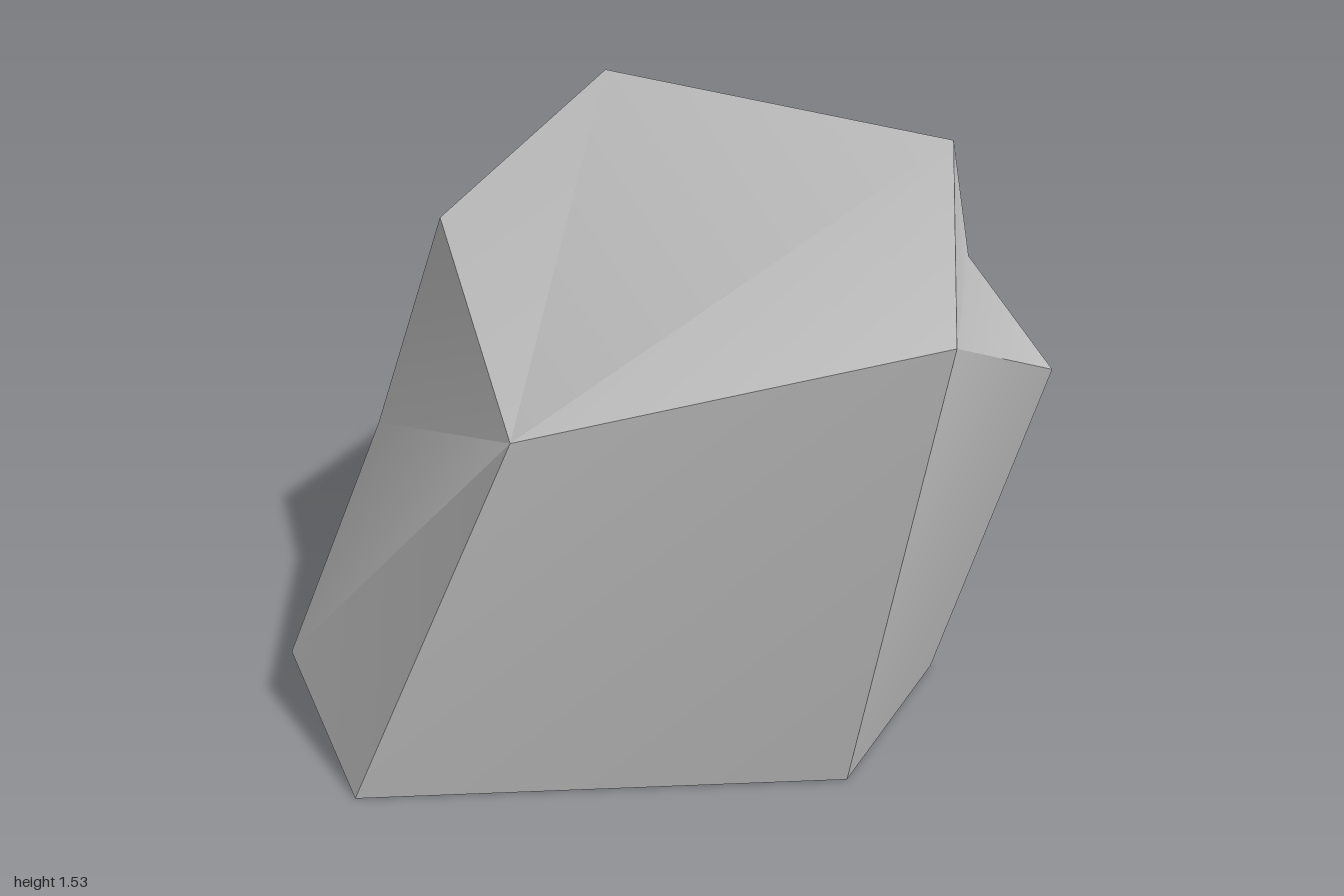
import * as THREE from 'three';
import { toCreasedNormals } from 'three/addons/utils/BufferGeometryUtils.js';

// Corners of the boulder
const corners = {
  A: [0.57, 1.535, 0.48], B: [0.02, 1.475, -0.745], C: [-0.505, 1.165, -0.44],
  D: [-0.51, 0.965, 0.662], E: [0.4, 1.213, 0.963], F: [1, 0.83, 0.21],
  G: [0.68, 1.21, 0.355], H: [0.9, 0.42, -0.305], I: [-0.15, 0.775, -0.965],
  J: [0.39, 0.34, -0.89], K: [-0.705, 0.61, -0.39], L: [-1, 0.17, 0.04],
  M: [-0.89, 0, 0.495], N: [0.29, 0.003, 0.71], O: [0.695, 0.003, 0.24], P: [0.25, 0, -0.46],
};

// Cut faces, each a fan from its first corner, anticlockwise from outside
const facets = [
  'DEABC',  // sloping top
  'EFGA',   // notch below the peak
  'MNED',   // front
  'NOFE',   // front right
  'OHF',    // right sliver
  'BAGFHI', // broad right face
  'HJI',    // back right corner
  'OPJH',   // right undercut
  'CBIK',   // back
  'PLKIJ',  // back undercut
  'DCKLM',  // left
  'MLPON',  // underside
];

export function createModel() {
  const positions = [];
  for (const f of facets) {
    for (let i = 1; i < f.length - 1; i++) {
      positions.push(...corners[f[0]], ...corners[f[i]], ...corners[f[i + 1]]);
    }
  }
  const geometry = new THREE.BufferGeometry();
  geometry.setAttribute('position', new THREE.Float32BufferAttribute(positions, 3));

  const stone = new THREE.MeshStandardMaterial({ color: 0xc4c4c4 });
  stone.name = 'stone grey';
  const rock = new THREE.Mesh(toCreasedNormals(geometry, 0.575), stone);
  rock.name = 'rock';

  const group = new THREE.Group();
  group.name = 'boulder';
  group.add(rock);
  return group;
}
